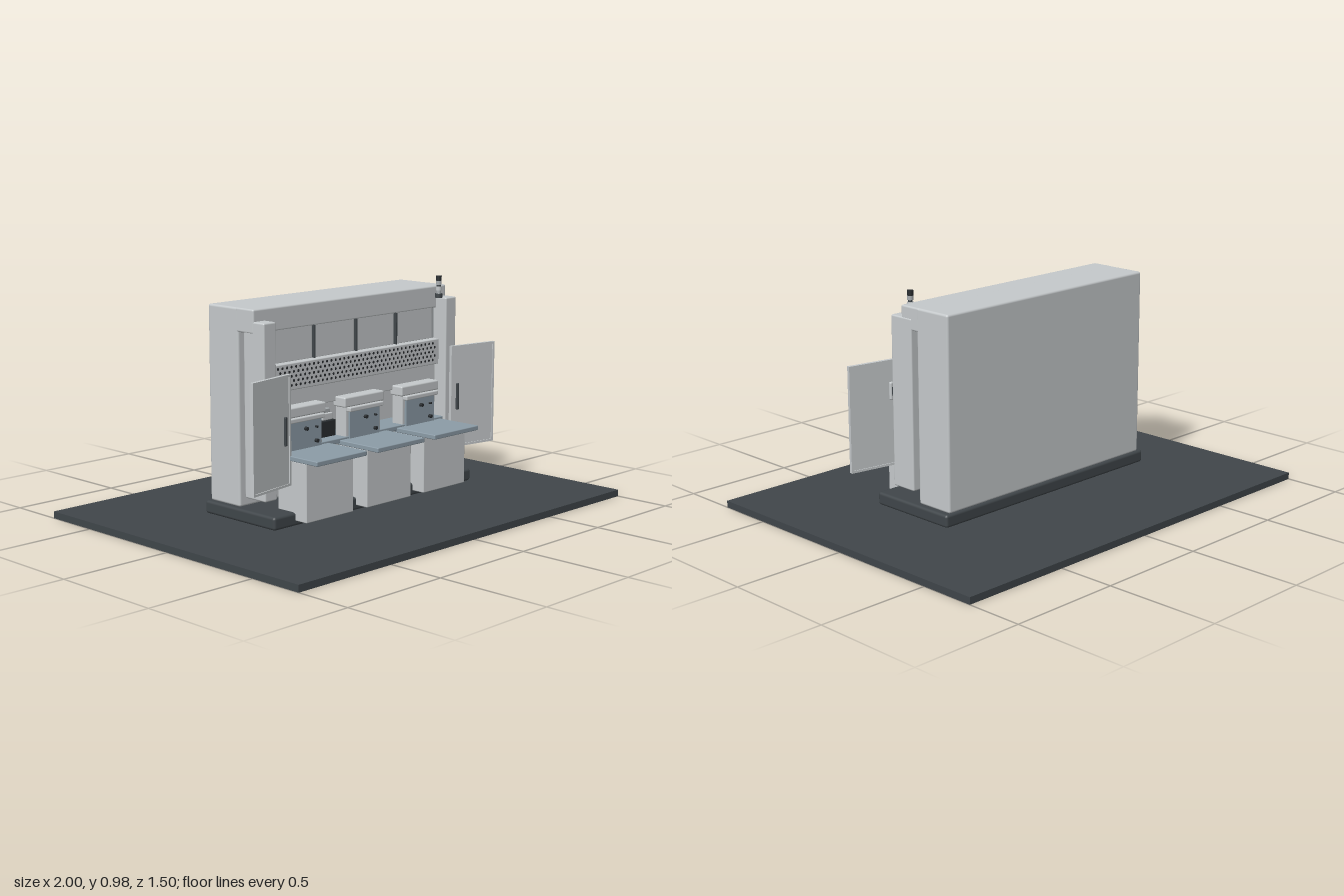
import * as THREE from 'three';
import { mergeGeometries } from 'three/addons/utils/BufferGeometryUtils.js';
import { RoundedBoxGeometry } from 'three/addons/geometries/RoundedBoxGeometry.js';

const paint = (name, color) => {
  const m = new THREE.MeshStandardMaterial({ color });
  m.name = name;
  return m;
};

export function createModel() {
  const root = new THREE.Group();
  root.name = 'productionStation';
  const shell = paint('light grey shell', 0xc5c9cb);
  const trim = paint('mid grey trim', 0xa9aeb1);
  const steel = paint('blue grey steel', 0x8c9ca7);
  const dark = paint('charcoal', 0x40464a);
  const black = paint('near black', 0x292d30);

  const add = (parent, name, geo, mat) => {
    const mesh = new THREE.Mesh(geo, mat);
    mesh.name = name;
    parent.add(mesh);
    return mesh;
  };
  // Box given by its limits on each axis, with optional rounded edges
  const box = (parent, name, mat, [x0, x1], [y0, y1], [z0, z1], r = 0) => {
    const s = [x1 - x0, y1 - y0, z1 - z0];
    const geo = r ? new RoundedBoxGeometry(...s, 2, r) : new THREE.BoxGeometry(...s);
    geo.translate((x0 + x1) / 2, (y0 + y1) / 2, (z0 + z1) / 2);
    return add(parent, name, geo, mat);
  };
  const group = (name, parent = root) => {
    const g = new THREE.Group();
    g.name = name;
    parent.add(g);
    return g;
  };

  // Floor and plinth
  box(root, 'floor', dark, [-1, 1], [0, 0.03], [-0.75, 0.75]);
  box(root, 'plinth', dark, [-0.613, 0.61], [0.05, 0.106], [-0.212, 0.212], 0.012);

  // Cabinet: back body, overhanging hood, two front columns
  const cabinet = group('cabinet');
  box(cabinet, 'backBody', shell, [-0.59, 0.585], [0.104, 0.936], [-0.202, -0.02], 0.01);
  box(cabinet, 'hood', shell, [-0.59, 0.585], [0.836, 0.936], [-0.035, 0.072], 0.008);
  for (const s of [-1, 1]) {
    const [a, b] = [s * 0.52, s * 0.588].sort((p, q) => p - q);
    box(cabinet, 'column', shell, [a, b], [0.15, 0.886], [0.01, 0.132], 0.007);
  }

  // Upper cover panels with dark joints
  const front = group('frontPanels');
  box(front, 'panelBacking', trim, [-0.52, 0.52], [0.5, 0.872], [0.02, 0.058]);
  for (let i = 0; i < 4; i++) {
    const x = -0.377 + i * 0.251;
    box(front, 'coverPanel', shell, [x - 0.121, x + 0.121], [0.7, 0.87], [0.055, 0.07], 0.004);
    if (i < 3) box(front, 'panelJoint', dark, [x + 0.122, x + 0.129], [0.7, 0.84], [0.056, 0.082]);
  }
  box(front, 'lowerPanel', shell, [-0.515, 0.515], [0.5, 0.588], [0.05, 0.075], 0.004);

  // Perforated strip with staggered holes
  box(front, 'perforatedStrip', shell, [-0.505, 0.505], [0.588, 0.702], [0.05, 0.105], 0.005);
  const holes = [];
  for (let row = 0; row < 5; row++) {
    for (let col = 0; col < 38; col++) {
      const x = -0.487 + col * 0.0257 + (row % 2) * 0.0128;
      holes.push(new THREE.CircleGeometry(0.0062, 8).translate(x, 0.609 + row * 0.019, 0.1056));
    }
  }
  add(front, 'perforations', mergeGeometries(holes), black);

  // Inner shelf and the equipment behind the work units
  const inside = group('interior');
  box(inside, 'shelf', steel, [-0.515, 0.515], [0.328, 0.35], [-0.02, 0.125], 0.004);
  box(inside, 'driveBox', black, [-0.215, -0.115], [0.35, 0.42], [-0.02, 0.07], 0.004);
  box(inside, 'driveCover', shell, [-0.185, -0.125], [0.42, 0.45], [-0.02, 0.06], 0.004);
  box(inside, 'driveCap', trim, [-0.175, -0.13], [0.45, 0.468], [-0.02, 0.05], 0.003);
  box(inside, 'sideDrive', black, [0.465, 0.5], [0.38, 0.45], [-0.02, 0.07], 0.004);
  box(inside, 'smallDrive', black, [0.112, 0.125], [0.44, 0.465], [-0.02, 0.07]);

  // Three work units, each with a pedestal, table and control face
  for (const x of [-0.358, -0.002, 0.354]) {
    const unit = group('workUnit');
    unit.position.x = x;
    box(unit, 'pedestal', shell, [-0.137, 0.137], [0.072, 0.32], [0.108, 0.276], 0.004);
    box(unit, 'table', steel, [-0.145, 0.145], [0.32, 0.341], [0.108, 0.346], 0.004);
    box(unit, 'unitHousing', shell, [-0.108, 0.108], [0.341, 0.485], [0.06, 0.122], 0.006);
    box(unit, 'unitHeader', shell, [-0.122, 0.122], [0.477, 0.521], [0.06, 0.132], 0.007);
    box(unit, 'housingLip', shell, [-0.104, 0.104], [0.458, 0.478], [0.1, 0.146], 0.005);
    box(unit, 'controlFace', steel, [-0.092, 0.092], [0.341, 0.459], [0.11, 0.132]);
    for (const [kx, ky] of [[0, 0.425], [0.06, 0.425], [0.06, 0.366]]) {
      const knob = new THREE.CylinderGeometry(0.008, 0.008, 0.016, 14).rotateX(Math.PI / 2);
      if (kx === 0.06 && ky > 0.4) knob.scale(0.6, 0.6, 1).translate(0, 0, 0.05);
      knob.translate(kx, ky, kx === 0.06 && ky > 0.4 ? 0.086 : 0.138);
      add(unit, 'knob', knob, black);
    }
  }

  // Two doors standing open, angled forward at their outer edges
  for (const s of [-1, 1]) {
    const door = group('door');
    door.position.set(s * 0.62, 0.447, 0.203);
    door.rotation.y = -s * 0.17;
    box(door, 'doorPanel', shell, [-0.118, 0.118], [-0.222, 0.222], [-0.004, 0.004]);
    for (const e of [-1, 1]) {
      box(door, 'doorStile', shell, [e * 0.12 - 0.005, e * 0.12 + 0.005], [-0.23, 0.23], [-0.008, 0.008]);
      box(door, 'doorRail', shell, [-0.116, 0.116], [e * 0.225 - 0.005, e * 0.225 + 0.005], [-0.008, 0.008]);
    }
    box(door, 'doorHandle', dark, [-s * 0.089 - 0.007, -s * 0.089 + 0.007], [-0.06, 0.06], [0.002, 0.013], 0.004);
  }

  // Grip on the column behind the door
  const grip = group('columnGrip');
  box(grip, 'gripBar', shell, [0.55, 0.582], [0.515, 0.592], [0.146, 0.162], 0.006);
  box(grip, 'gripMount', dark, [0.556, 0.576], [0.535, 0.572], [0.13, 0.148]);

  // Signal beacon built from stacked rings
  const beacon = group('signalBeacon');
  beacon.position.set(0.517, 0, 0.09);
  const rings = [
    [0.884, 0.902, 0.017, dark], [0.902, 0.916, 0.011, trim], [0.916, 0.934, 0.013, shell],
    [0.934, 0.942, 0.01, dark], [0.942, 0.96, 0.013, trim], [0.96, 0.982, 0.013, black],
  ];
  for (const [y0, y1, r, mat] of rings) {
    const geo = new THREE.CylinderGeometry(r, r, y1 - y0, 20).translate(0, (y0 + y1) / 2, 0);
    add(beacon, 'beaconRing', geo, mat);
  }
  return root;
}
